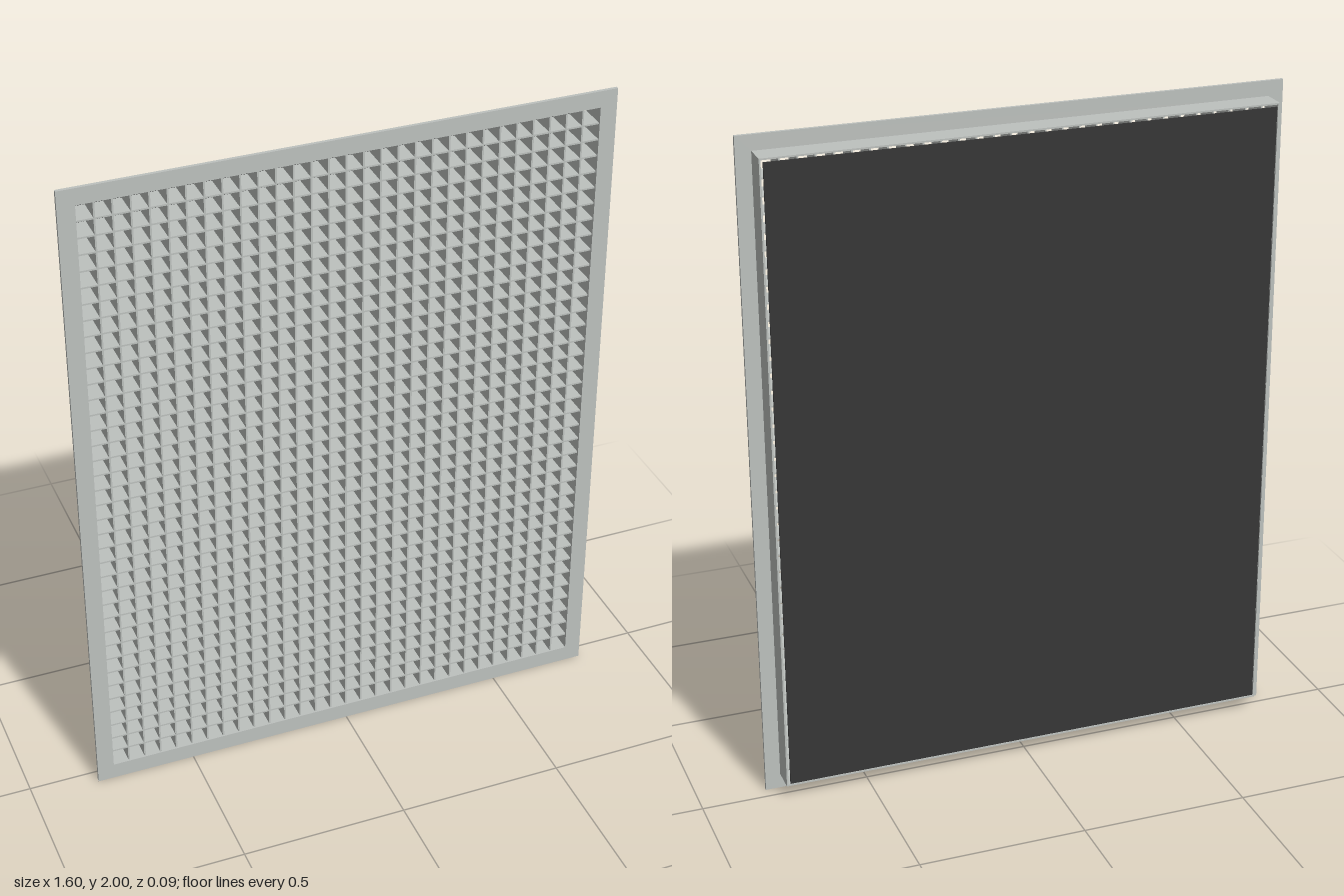
import * as THREE from 'three';

const grey = new THREE.MeshStandardMaterial({ color: 0xbdc1be });
grey.name = 'paintedGrey';
const black = new THREE.MeshStandardMaterial({ color: 0x363636 });
black.name = 'matteBlack';

const CY = 1;          // height of the panel centre
const PITCH = 0.05;    // grid spacing
const BLADE = 0.005;   // blade thickness

// Rectangular ring around the panel centre, from z0 to z1
function ring(name, outerW, outerH, innerW, innerH, z0, z1) {
  const rect = (T, w, h) => new T([
    new THREE.Vector2(-w / 2, -h / 2), new THREE.Vector2(w / 2, -h / 2),
    new THREE.Vector2(w / 2, h / 2), new THREE.Vector2(-w / 2, h / 2),
  ]);
  const shape = rect(THREE.Shape, outerW, outerH);
  shape.holes.push(rect(THREE.Path, innerW, innerH));
  const geo = new THREE.ExtrudeGeometry(shape, { depth: z1 - z0, bevelEnabled: false });
  const mesh = new THREE.Mesh(geo, grey);
  mesh.name = name;
  mesh.position.set(0, CY, z0);
  return mesh;
}

function box(name, w, h, z0, z1, x, y, material) {
  const mesh = new THREE.Mesh(new THREE.BoxGeometry(w, h, z1 - z0), material);
  mesh.name = name;
  mesh.position.set(x, y, (z0 + z1) / 2);
  return mesh;
}

export function createModel() {
  const model = new THREE.Group();
  model.name = 'eggCrateVentGrille';

  // Front flange and the collar behind it
  model.add(ring('flange', 1.6, 2, 1.5, 1.9, 0.035, 0.045));
  model.add(ring('collar', 1.51, 1.91, 1.5, 1.9, -0.04, 0.035));

  // Crossing blades
  const blades = new THREE.Group();
  blades.name = 'gridBlades';
  for (let i = -14; i <= 14; i++) {
    blades.add(box('verticalBlade', BLADE, 1.9, -0.038, 0.04, i * PITCH, CY, grey));
  }
  for (let j = -18; j <= 18; j++) {
    blades.add(box('horizontalBlade', 1.5, BLADE, -0.038, 0.04, 0, CY + j * PITCH, grey));
  }
  model.add(blades);

  // Dark backing sheet
  model.add(box('backingSheet', 1.49, 1.89, -0.045, -0.041, 0, CY, black));

  return model;
}
